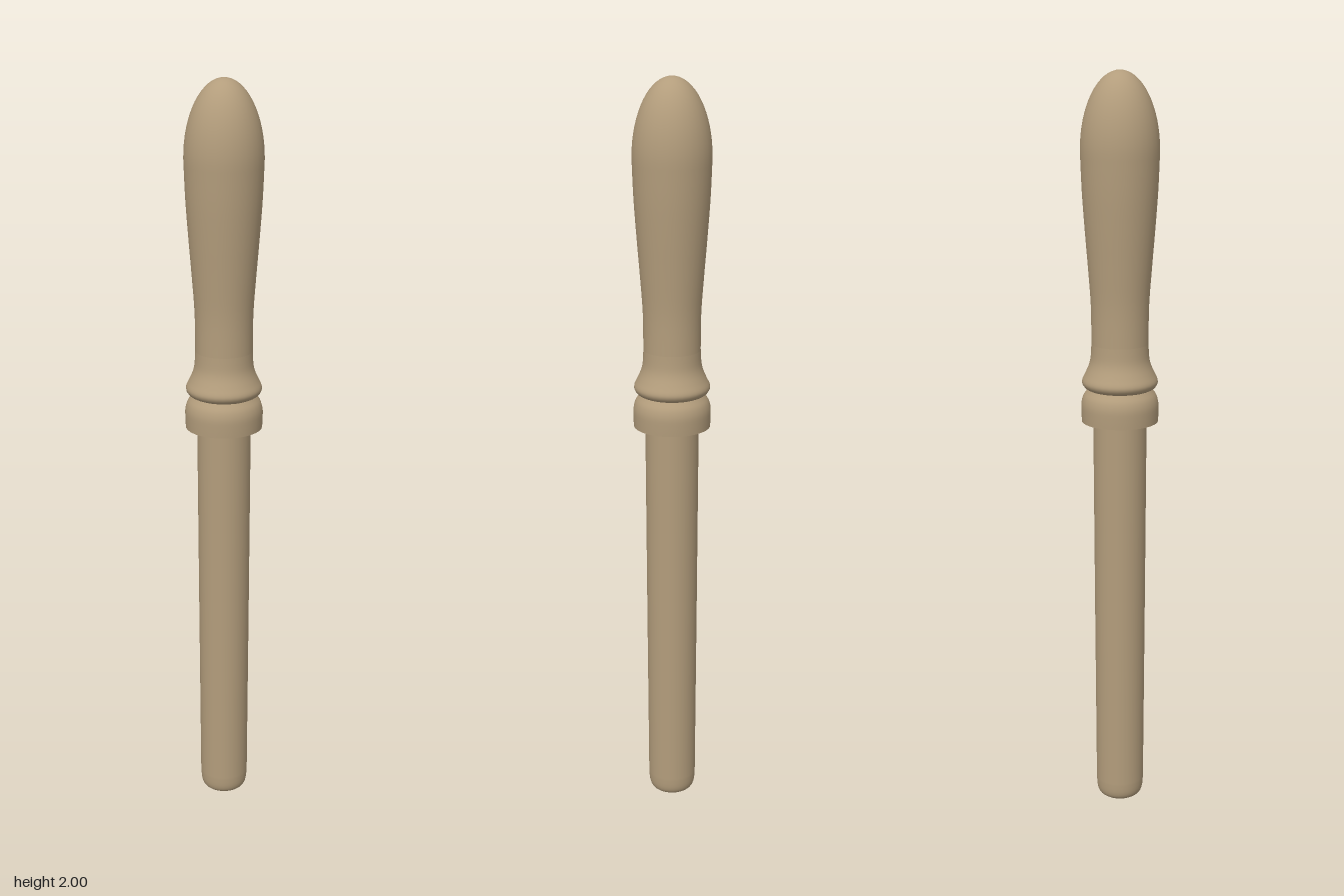
import * as THREE from 'three';

const SEGMENTS = 32;

// Smooth the [radius, height] points into a profile
function smooth(points, divisions) {
  const curve = new THREE.SplineCurve(points.map(([r, y]) => new THREE.Vector2(r, y)));
  return curve.getPoints(divisions).map((p) => new THREE.Vector2(Math.max(p.x, 0), p.y));
}

export function createModel() {
  const wood = new THREE.MeshStandardMaterial({ color: 0xb39d7c });
  wood.name = 'turned wood';
  const model = new THREE.Group();
  model.name = 'turnedTool';

  function turn(name, profile) {
    const mesh = new THREE.Mesh(new THREE.LatheGeometry(profile, SEGMENTS), wood);
    mesh.name = name;
    model.add(mesh);
  }

  // Slightly tapered shaft with a rounded foot
  const foot = smooth([[0.045, 0.006], [0.057, 0.015], [0.063, 0.032], [0.065, 0.06]], 10);
  turn('shaft', [new THREE.Vector2(0, 0), ...foot, new THREE.Vector2(0.068, 0.55), new THREE.Vector2(0.071, 1.12)]);

  // Collar: flat underside, straight wall, rounded shoulder
  turn('collarUnderside', [new THREE.Vector2(0.06, 1.092), new THREE.Vector2(0.101, 1.092)]);
  turn('collar', smooth([[0.101, 1.092], [0.102, 1.115], [0.102, 1.14], [0.097, 1.16], [0.088, 1.174], [0.082, 1.182]], 16));

  // Bead flowing into the waist of the grip
  turn('bead', smooth([[0.08, 1.178], [0.092, 1.184], [0.099, 1.194], [0.099, 1.205], [0.091, 1.222],
    [0.082, 1.243], [0.077, 1.265], [0.075, 1.3]], 24));

  // Swelling grip, closed by a half-ellipsoid end
  const grip = smooth([[0.075, 1.3], [0.076, 1.4], [0.083, 1.5], [0.091, 1.6], [0.098, 1.7], [0.102, 1.8]], 20);
  for (let i = 1; i <= 16; i++) {
    const a = (i / 16) * Math.PI / 2;
    grip.push(new THREE.Vector2(Math.max(0.102 * Math.cos(a), 0), 1.8 + 0.2 * Math.sin(a)));
  }
  turn('grip', grip);

  return model;
}
